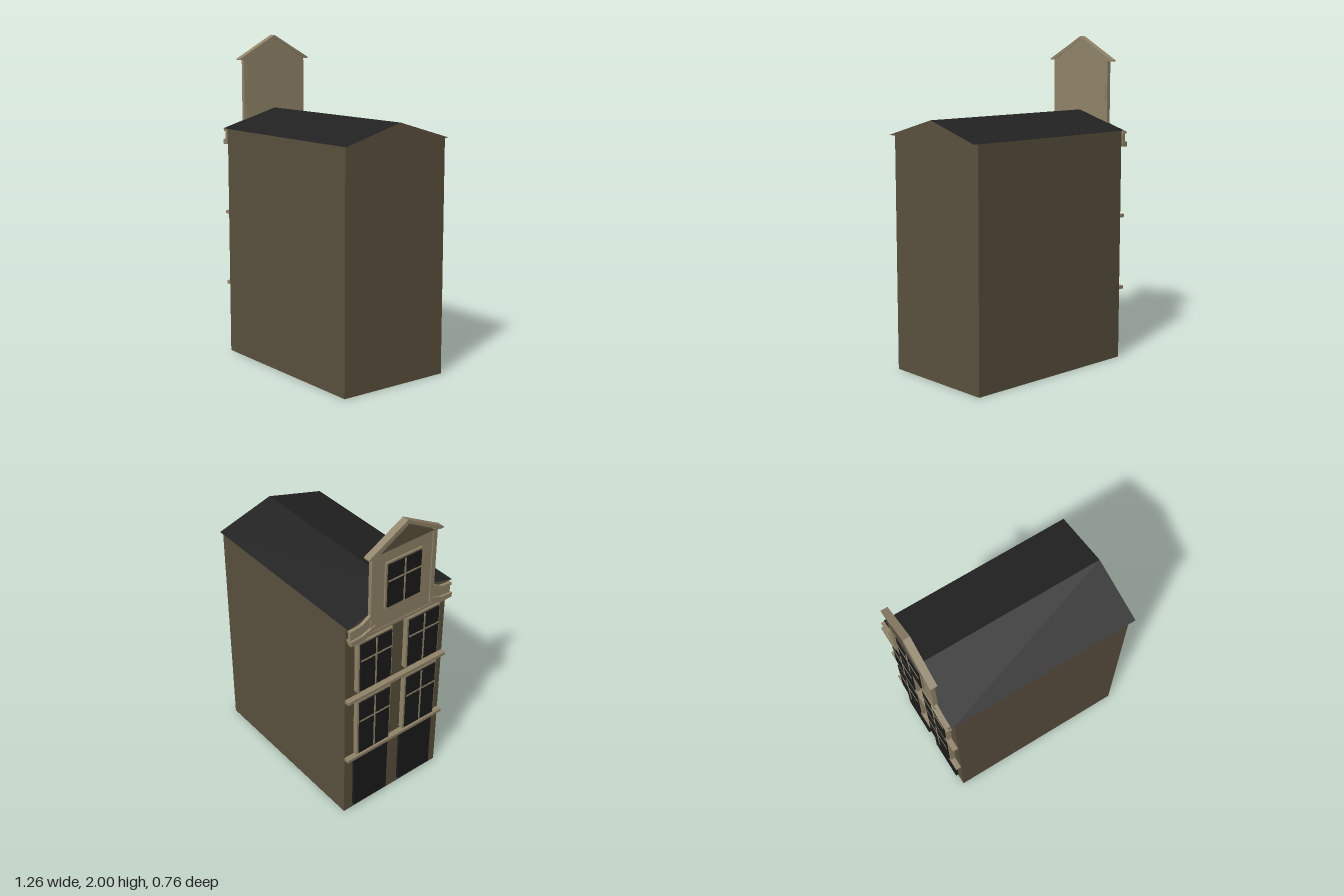
import * as THREE from 'three';

const mat = (name, color) => {
  const m = new THREE.MeshStandardMaterial({ color });
  m.name = name;
  return m;
};

export function createModel() {
  const wall = mat('brown wall', 0x5a503e);
  const trim = mat('sandstone trim', 0x91846a);
  const dark = mat('dark roof', 0x222222);
  const glass = mat('black glass', 0x1b1b1b);

  const model = new THREE.Group();
  model.name = 'townHouse';

  // Working frame: u runs along the facade, y is up, d points out of the facade (world -x)
  const house = new THREE.Group();
  house.name = 'house';
  house.rotation.y = -Math.PI / 2;
  house.position.z = -0.01;
  model.add(house);

  const box = (name, m, u0, u1, y0, y1, d0, d1) => {
    const mesh = new THREE.Mesh(new THREE.BoxGeometry(u1 - u0, y1 - y0, d1 - d0), m);
    mesh.name = name;
    mesh.position.set((u0 + u1) / 2, (y0 + y1) / 2, (d0 + d1) / 2);
    house.add(mesh);
    return mesh;
  };
  const slab = (name, m, points, d0, d1) => {
    const shape = new THREE.Shape(points.map(([u, y]) => new THREE.Vector2(u, y)));
    const mesh = new THREE.Mesh(
      new THREE.ExtrudeGeometry(shape, { depth: d1 - d0, bevelEnabled: false }), m);
    mesh.name = name;
    mesh.position.z = d0;
    house.add(mesh);
    return mesh;
  };
  const mirror = (points) => points.map(([u, y]) => [-u, y]).reverse();

  // Body and pitched roof: wall-coloured ends, dark slopes and underside
  box('body', wall, -0.37, 0.37, 0, 1.43, -0.6, 0.57);
  slab('roof', [wall, dark], [[-0.372, 1.43], [0.388, 1.43], [0, 1.54]], -0.63, 0.595);

  // Framed window with one mullion and one high transom
  const windowUnit = (name, uc, w, y0, y1, bar, back, d) => {
    const a = uc - w / 2, b = uc + w / 2, f = 0.012;
    box(name + 'Frame', trim, a - f, b + f, y0 - f, y1 + f, back, d - 0.008);
    box(name + 'Glass', glass, a, b, y0, y1, d - 0.008, d);
    box(name + 'Mullion', trim, uc - 0.005, uc + 0.005, y0, y1, d, d + 0.003);
    box(name + 'Transom', trim, a, b, bar - 0.005, bar + 0.005, d, d + 0.003);
  };

  // Doors and windows in two columns
  for (const s of [-1, 1]) {
    const c = s * 0.178;
    box('door', glass, c - 0.128, c + 0.128, 0.03, 0.405, 0.57, 0.588);
    windowUnit('lowerWindow', c, 0.225, 0.48, 0.87, 0.73, 0.57, 0.61);
    windowUnit('upperWindow', c, 0.225, 0.96, 1.295, 1.18, 0.57, 0.61);
  }

  // Floor ledges
  for (const y of [0.445, 0.9]) box('ledge', trim, -0.37, 0.37, y - 0.01, y + 0.01, 0.57, 0.605);

  // Neck gable with curved-in shoulders and a pointed top
  const half = [[0.365, 1.34], [0.365, 1.42], [0.29, 1.43], [0.24, 1.455], [0.215, 1.5], [0.215, 1.855]];
  slab('gable', trim, [...half, [0, 1.985], ...mirror(half)], 0.588, 0.608);
  box('gableBase', trim, -0.36, 0.36, 1.33, 1.35, 0.57, 0.612);

  for (const s of [-1, 1]) {
    const side = (pts) => (s > 0 ? pts : mirror(pts));
    // Shoulder cornices, edge pilasters and raking mouldings
    slab('shoulderCornice', trim,
      side([[0.37, 1.33], [0.37, 1.36], [0.29, 1.365], [0.2, 1.4], [0.2, 1.37], [0.28, 1.33]]), 0.588, 0.622);
    slab('shoulderCap', trim,
      side([[0.37, 1.41], [0.37, 1.425], [0.29, 1.435], [0.23, 1.47], [0.22, 1.46], [0.285, 1.42]]), 0.588, 0.615);
    const p = s * 0.216;
    box('pilaster', trim, p - 0.014, p + 0.014, 1.38, 1.855, 0.59, 0.616);
    slab('rakingMoulding', trim,
      side([[0, 1.98], [0.232, 1.848], [0.262, 1.848], [0.262, 1.855], [0, 2]]), 0.585, 0.628);
  }

  // Pediment face and gable window
  box('pedimentLedge', trim, -0.23, 0.23, 1.848, 1.862, 0.588, 0.622);
  slab('pedimentFace', wall, [[-0.19, 1.866], [0.19, 1.866], [0, 1.974]], 0.608, 0.634);
  windowUnit('gableWindow', -0.005, 0.235, 1.485, 1.765, 1.66, 0.6, 0.627);

  return model;
}
